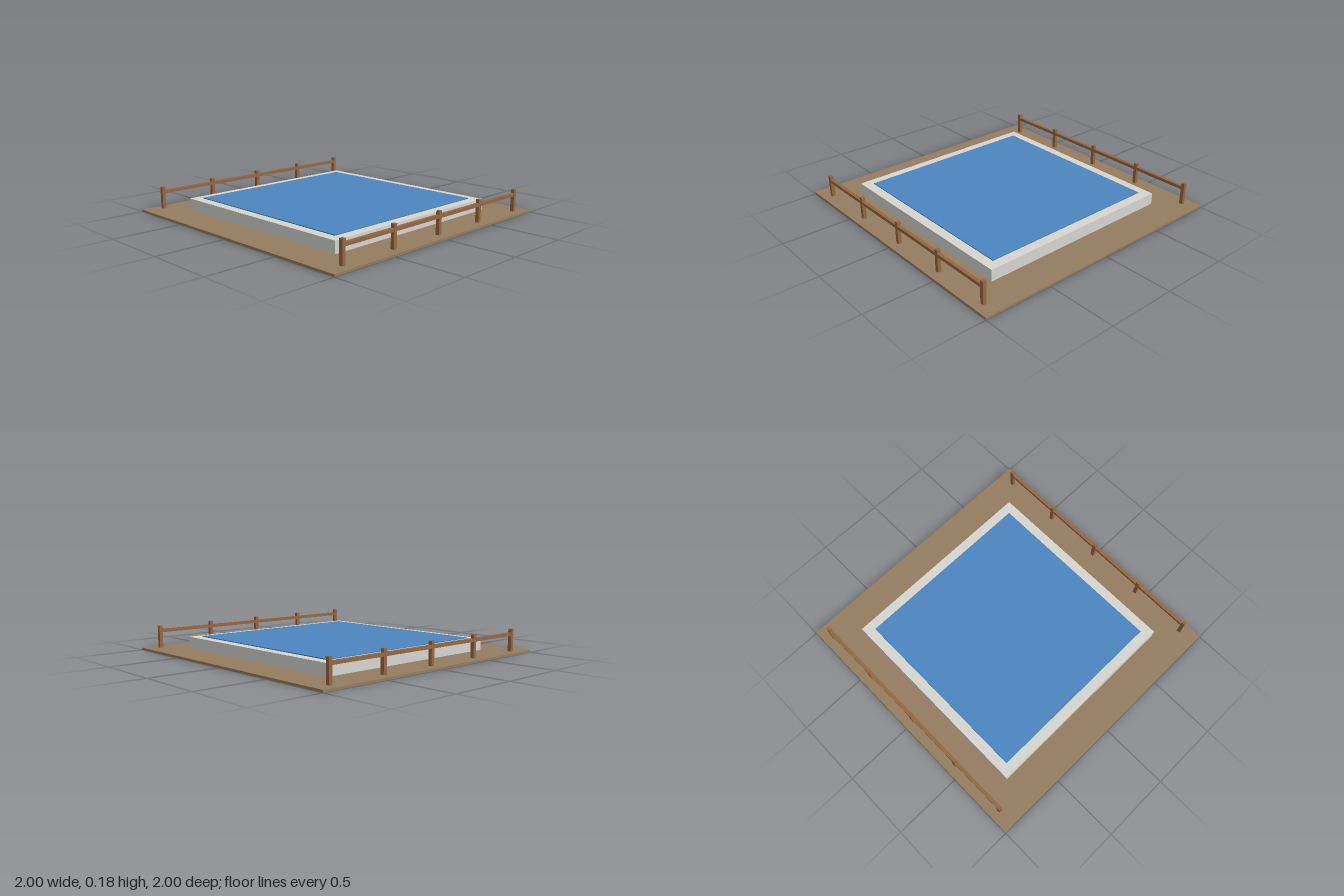
import * as THREE from 'three';

const material = (name, color) => {
  const m = new THREE.MeshStandardMaterial({ color });
  m.name = name;
  return m;
};

export function createModel() {
  const stone = material('pale stone', 0xd6d5d0);
  const blue = material('water blue', 0x4c86c0);
  const wood = material('fence wood', 0x946843);
  const earth = material('earth brown', 0x947d60);

  const model = new THREE.Group();
  model.name = 'fencedPool';

  // Box given by its size, bottom height and centre
  const box = (parent, name, mat, [w, h, d], x, bottom, z) => {
    const mesh = new THREE.Mesh(new THREE.BoxGeometry(w, h, d), mat);
    mesh.name = name;
    mesh.position.set(x, bottom + h / 2, z);
    parent.add(mesh);
  };

  // Raised stone basin standing through the ground slab, with the water sheet on top
  box(model, 'basin', stone, [1.5, 0.1, 1.5], 0, 0, 0);
  box(model, 'water', blue, [1.36, 0.008, 1.36], 0, 0.098, 0);
  box(model, 'ground', earth, [2, 0.016, 2], 0, 0, 0);

  // Post-and-rail fences along the front and back
  const firstPost = -0.863, spacing = 0.4375, postCount = 5, thickness = 0.026;
  const span = spacing * (postCount - 1);
  for (const side of [1, -1]) {
    const fence = new THREE.Group();
    fence.name = side > 0 ? 'frontFence' : 'backFence';
    fence.position.z = side * 0.925;
    for (let i = 0; i < postCount; i++) {
      box(fence, 'post', wood, [thickness, 0.167, thickness], firstPost + i * spacing, 0.01, 0);
    }
    box(fence, 'rail', wood, [span, 0.023, 0.025], firstPost + span / 2, 0.128, 0);
    model.add(fence);
  }
  return model;
}
